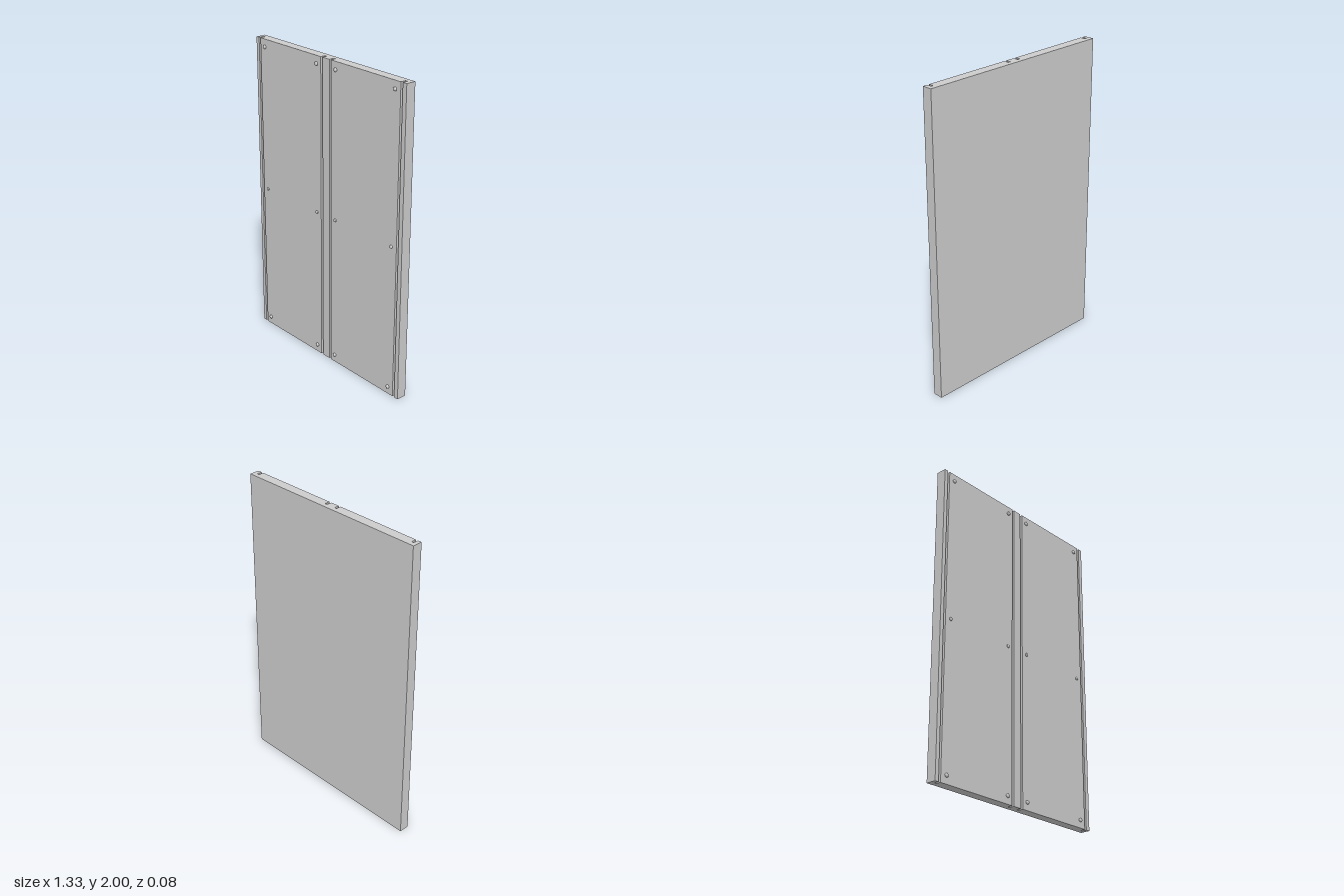
import * as THREE from 'three';

const HALF_WIDTH = 0.666, HEIGHT = 2;
const BACK = -0.038, FACE = 0.027, GROOVE_FLOOR = -0.007;

export function createModel() {
  const group = new THREE.Group();
  const material = new THREE.MeshStandardMaterial({ color: 0xcccccc });

  // Slab: plan outline with four vertical grooves, extruded to full height
  const grooves = [[-0.64, -0.625], [-0.049, -0.033], [0.028, 0.044], [0.621, 0.636]];
  const outline = new THREE.Shape();
  outline.moveTo(-HALF_WIDTH, -FACE);
  for (const [a, b] of grooves) {
    outline.lineTo(a, -FACE);
    outline.lineTo(a, -GROOVE_FLOOR);
    outline.lineTo(b, -GROOVE_FLOOR);
    outline.lineTo(b, -FACE);
  }
  outline.lineTo(HALF_WIDTH, -FACE);
  outline.lineTo(HALF_WIDTH, -BACK);
  outline.lineTo(-HALF_WIDTH, -BACK);
  outline.closePath();
  const slabGeometry = new THREE.ExtrudeGeometry(outline, { depth: HEIGHT, bevelEnabled: false });
  slabGeometry.rotateX(-Math.PI / 2);
  const slab = new THREE.Mesh(slabGeometry, material);
  slab.name = 'groovedPanel';
  group.add(slab);

  // Screw heads: short rim with a low rounded cap
  const profile = [[0.012, -0.002], [0.012, 0.004], [0.0112, 0.007], [0.009, 0.0095], [0.005, 0.0107], [0, 0.011]]
    .map(([r, h]) => new THREE.Vector2(r, h));
  const headGeometry = new THREE.LatheGeometry(profile, 24);
  headGeometry.rotateX(Math.PI / 2);
  const screws = new THREE.Group();
  screws.name = 'screwHeads';
  for (const x of [-0.583, -0.088, 0.083, 0.578]) {
    for (const y of [0.05, 1, 1.95]) {
      const head = new THREE.Mesh(headGeometry, material);
      head.name = 'screwHead';
      head.position.set(x, y, FACE);
      // The middle row is slightly smaller
      if (y === 1) head.scale.set(0.88, 0.88, 0.75);
      screws.add(head);
    }
  }
  group.add(screws);
  return group;
}
